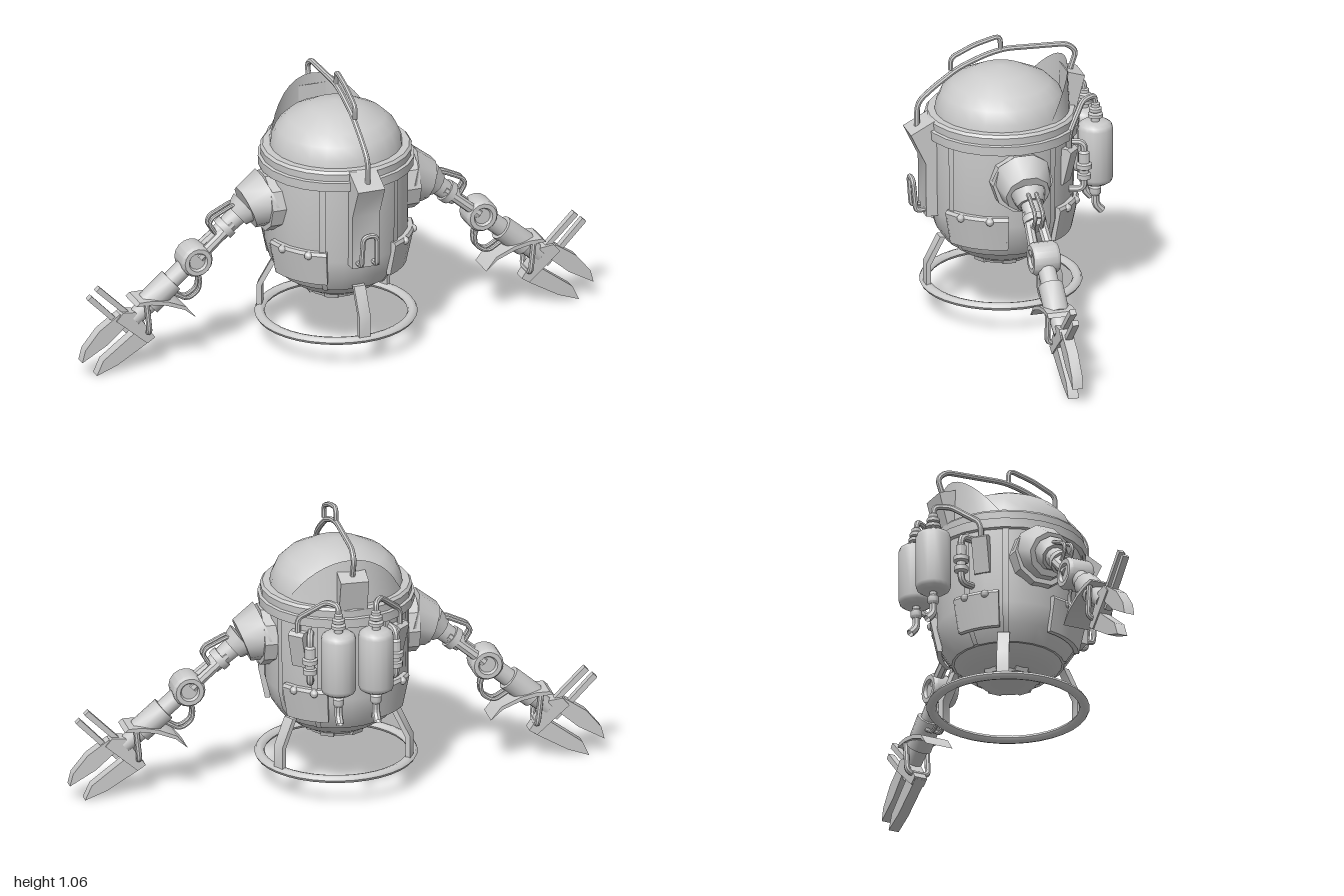
import * as THREE from 'three';
import { toCreasedNormals } from 'three/addons/utils/BufferGeometryUtils.js';

const material = new THREE.MeshStandardMaterial({ color: 0xcccccc, side: THREE.DoubleSide });
const DEG = Math.PI / 180;
const V = (p) => new THREE.Vector3(...p);

function add(parent, name, geo, crease = 35) {
  const m = new THREE.Mesh(toCreasedNormals(geo, crease * DEG), material);
  m.name = name;
  parent.add(m);
  return m;
}

// revolved profile of [radius, y] points; angles run from the front towards +x
function lathe(pts, seg = 24, from = 0, to = 360) {
  return new THREE.LatheGeometry(pts.map((p) => new THREE.Vector2(...p)), seg, from * DEG, (to - from) * DEG);
}

// polygon in the xy plane, thickened symmetrically along z
function slab(pts, depth) {
  const shape = new THREE.Shape(pts.map((p) => new THREE.Vector2(...p)));
  return new THREE.ExtrudeGeometry(shape, { depth, bevelEnabled: false }).translate(0, 0, -depth / 2);
}
// polygon of [z, y] points, thickened symmetrically along x
const sideSlab = (pts, width) => slab(pts, width).rotateY(-Math.PI / 2);

// pipe through straight runs with rounded corners
function pipe(pts, r, bend = 0.025) {
  const p = pts.map(V), path = new THREE.CurvePath();
  let start = p[0];
  for (let i = 1; i < p.length - 1; i++) {
    const k = Math.min(bend, p[i].distanceTo(p[i - 1]) * 0.45, p[i].distanceTo(p[i + 1]) * 0.45);
    const a = p[i].clone().add(p[i - 1].clone().sub(p[i]).setLength(k));
    const b = p[i].clone().add(p[i + 1].clone().sub(p[i]).setLength(k));
    path.add(new THREE.LineCurve3(start, a));
    path.add(new THREE.QuadraticBezierCurve3(a, p[i], b));
    start = b;
  }
  path.add(new THREE.LineCurve3(start, p[p.length - 1]));
  return new THREE.TubeGeometry(path, pts.length * 10, r, 8);
}

// straight, possibly tapered round bar from a to b
function rod(a, b, r1, r2 = r1, seg = 12) {
  const A = V(a), d = V(b).sub(A), len = d.length();
  return new THREE.CylinderGeometry(r2, r1, len, seg)
    .translate(0, len / 2, 0)
    .applyQuaternion(new THREE.Quaternion().setFromUnitVectors(new THREE.Vector3(0, 1, 0), d.normalize()))
    .translate(...A.toArray());
}

function buildBody() {
  const g = new THREE.Group();
  g.name = 'body';
  g.position.z = 0.025;
  // hull, collar and dome
  add(g, 'lowerHull', lathe([[0, 0.2], [0.09, 0.205], [0.155, 0.24], [0.195, 0.275], [0.235, 0.335], [0.25, 0.4], [0.25, 0.7]]));
  add(g, 'shell', lathe([[0.19, 0.277], [0.205, 0.277], [0.243, 0.335], [0.262, 0.41], [0.265, 0.71]]));
  add(g, 'collar', lathe([[0.26, 0.7], [0.284, 0.7], [0.286, 0.735], [0.275, 0.738], [0.277, 0.765], [0.268, 0.775], [0.23, 0.775]]));
  add(g, 'dome', lathe([[0.243, 0.765], [0.238, 0.8], [0.218, 0.845], [0.18, 0.882], [0.1, 0.922], [0, 0.942]]), 50);
  // bottom socket with ribs
  add(g, 'socket', lathe([[0.13, 0.28], [0.105, 0.205], [0.085, 0.205], [0.06, 0.225], [0, 0.225]], 16));
  for (let i = 0; i < 6; i++)
    add(g, 'socketRib', sideSlab([[0.09, 0.205], [0.112, 0.205], [0.138, 0.28], [0.09, 0.28]], 0.05)).rotation.y = (i + 0.5) * 60 * DEG;
  // vertical straps and curved pouches
  for (const a of [32, 118, 150, 210, 242, 328])
    add(g, 'strap', lathe([[0.19, 0.277], [0.212, 0.277], [0.25, 0.335], [0.269, 0.41], [0.272, 0.71]], 2, a - 2.5, a + 2.5));
  const pouch = (name, from, to) => {
    const pts = [[0.24, 0.318], [0.258, 0.318], [0.284, 0.44], [0.278, 0.452], [0.25, 0.452]];
    add(g, name, lathe(pts, 5, from, to));
    // end walls
    for (const a of [from, to]) add(g, name + 'End', sideSlab(pts, 0.006)).rotation.y = a * DEG;
    // fasteners
    for (const t of [0.27, 0.73]) {
      const a = (from + (to - from) * t) * DEG;
      add(g, 'fastener', new THREE.SphereGeometry(0.015, 10, 8).translate(Math.sin(a) * 0.28, 0.438, Math.cos(a) * 0.28), 60);
    }
  };
  pouch('frontPouch', 29, 79);
  pouch('frontPouch', 281, 331);
  pouch('rearPouch', 124, 160);
  pouch('rearPouch', 200, 236);
  // landing ring on three bent legs
  add(g, 'baseRing', new THREE.TorusGeometry(0.278, 0.019, 8, 36).rotateX(Math.PI / 2).scale(1, 0.75, 1).translate(0, 0.107, 0), 50);
  const leg = [[0.27, 0.105], [0.288, 0.105], [0.288, 0.2], [0.236, 0.3], [0.215, 0.3], [0.27, 0.195]];
  for (let i = 0; i < 3; i++) add(g, 'leg', sideSlab(leg, 0.044)).rotation.y = i * 120 * DEG;
  // slanted hood: a cylinder wall cut by a sloping plane
  const hood = new THREE.PlaneGeometry(1, 1, 16, 1), p = hood.attributes.position;
  for (let i = 0; i < p.count; i++) {
    const a = p.getX(i) * 120 * DEG, top = p.getY(i) > 0, r = top ? 0.242 : 0.25;
    const y = top ? 0.765 + 0.185 * Math.max(0, (Math.cos(a) - 0.5) / 0.5) : 0.765;
    p.setXYZ(i, r * Math.sin(a), y, -r * Math.cos(a));
  }
  add(g, 'hood', hood, 60);
  return g;
}

function buildFittings() {
  const g = new THREE.Group();
  g.name = 'fittings';
  // front column and its handle
  add(g, 'frontColumn', sideSlab([[0.27, 0.4], [0.322, 0.4], [0.324, 0.607], [0.38, 0.725], [0.288, 0.773], [0.27, 0.773]], 0.105));
  add(g, 'frontHandle', pipe([[-0.03, 0.42, 0.32], [-0.03, 0.42, 0.355], [-0.026, 0.54, 0.365], [0.026, 0.54, 0.365], [0.03, 0.42, 0.355], [0.03, 0.42, 0.32]], 0.01));
  add(g, 'rearBracket', sideSlab([[-0.21, 0.74], [-0.24, 0.74], [-0.278, 0.885], [-0.212, 0.907]], 0.105));
  // roll bar with a carrying loop
  add(g, 'rollBar', pipe([[0, 0.74, 0.342], [0, 0.83, 0.342], [0, 0.88, 0.285], [0, 0.95, 0.185], [0, 0.99, 0.08], [0, 1.005, 0.01],
    [0, 0.997, -0.225], [0, 0.965, -0.26], [0, 0.89, -0.235]], 0.0105, 0.04));
  add(g, 'carryLoop', pipe([[0, 0.945, 0.215], [0, 0.992, 0.215], [0, 1.033, 0.125], [0, 1.058, 0.028], [0, 1, 0.026]], 0.0095));
  for (const s of [1, -1]) {
    // gas tank with neck and outlet
    const tank = new THREE.Group();
    tank.name = 'tank';
    tank.position.set(0.07 * s, 0, -0.312);
    g.add(tank);
    add(tank, 'tankBody', lathe([[0, 0.468], [0.045, 0.47], [0.06, 0.48], [0.065, 0.495], [0.065, 0.685], [0.06, 0.7], [0.045, 0.71], [0, 0.712]], 16), 50);
    add(tank, 'tankNeck', lathe([[0.016, 0.7], [0.016, 0.725], [0.028, 0.728], [0.028, 0.74], [0.015, 0.745], [0.024, 0.75], [0.024, 0.762], [0.017, 0.768], [0.017, 0.78], [0.01, 0.785]], 12));
    add(tank, 'tankOutlet', lathe([[0.014, 0.42], [0.021, 0.43], [0.021, 0.45], [0.014, 0.458], [0.014, 0.475]], 12));
    add(tank, 'outletPipe', pipe([[0, 0.45, 0], [0, 0.385, 0], [0, 0.358, -0.025]], 0.015));
    // feed pipe to a wedge on the hull
    add(g, 'feedPipe', pipe([[0.07 * s, 0.775, -0.312], [0.07 * s, 0.812, -0.308], [0.1 * s, 0.81, -0.255], [0.19 * s, 0.725, -0.178], [0.19 * s, 0.64, -0.178]], 0.011));
    const wedge = add(g, 'hullWedge', sideSlab([[0.24, 0.53], [0.268, 0.53], [0.3, 0.66], [0.285, 0.672], [0.24, 0.672]], 0.06));
    wedge.position.z = 0.025;
    wedge.rotation.y = s * 137 * DEG;
    // small valve on a bypass pipe
    const x = 0.16 * s;
    add(g, 'bypassPipe', pipe([[x * 0.9, 0.672, -0.19], [x, 0.672, -0.243], [x, 0.488, -0.243], [x * 0.9, 0.488, -0.19]], 0.013));
    add(g, 'valve', lathe([[0.013, 0.525], [0.026, 0.53], [0.026, 0.548], [0.018, 0.552], [0.018, 0.565], [0.029, 0.57], [0.029, 0.587], [0.02, 0.592], [0.02, 0.63], [0.013, 0.638]], 12)).position.set(x, 0, -0.243);
  }
  return g;
}

// one arm on the +x side, symmetric in z
function buildArm() {
  const g = new THREE.Group();
  g.name = 'arm';
  g.position.z = 0.025;
  const S = [0.35, 0.578, 0], E = [0.556, 0.405, 0], W = [0.73, 0.255, 0];
  const at = (a, b, t, z = 0) => [a[0] + (b[0] - a[0]) * t, a[1] + (b[1] - a[1]) * t, z];
  // shoulder
  add(g, 'shoulderBase', rod([0.2, 0.59, 0], [0.29, 0.59, 0], 0.113, 0.113, 10));
  add(g, 'shoulderCone', rod([0.265, 0.605, 0], [0.352, 0.572, 0], 0.112, 0.083, 10));
  add(g, 'shoulderCup', rod(S, at(S, E, 0.18), 0.066, 0.05, 10));
  // upper arm
  add(g, 'upperArm', rod(S, at(S, E, 0.55), 0.04, 0.032));
  add(g, 'upperArmCollar', rod(at(S, E, 0.36), at(S, E, 0.46), 0.043));
  for (const z of [-0.03, 0.03]) add(g, 'upperFork', rod(at(S, E, 0.3, z * 0.7), at(S, E, 0.95, z), 0.018, 0.02, 8));
  for (const z of [-0.015, 0.015])
    add(g, 'upperHose', pipe([[0.37, 0.565, z], [0.4, 0.6, z], [0.488, 0.558, z], [0.5, 0.535, z], [0.47, 0.485, z]], 0.008));
  // elbow
  add(g, 'elbow', lathe([[0, -0.04], [0.03, -0.04], [0.036, -0.05], [0.052, -0.05], [0.06, -0.038], [0.06, 0.038], [0.052, 0.05], [0.036, 0.05], [0.03, 0.04], [0, 0.04]], 16)
    .rotateX(Math.PI / 2).translate(...E));
  // forearm
  add(g, 'forearm', rod(at(E, W, 0.2), W, 0.034, 0.034));
  add(g, 'forearmSleeve', rod(at(E, W, 0.5), at(E, W, 1.02), 0.047, 0.047));
  for (const z of [-0.015, 0.015])
    add(g, 'forearmHose', pipe([[0.55, 0.36, z], [0.535, 0.325, z], [0.54, 0.28, z], [0.585, 0.25, z], [0.65, 0.29, z]], 0.008));
  // curved wrist guard
  add(g, 'wristGuard', slab([[0.565, 0.19], [0.61, 0.228], [0.68, 0.256], [0.74, 0.268], [0.8, 0.27], [0.785, 0.283], [0.735, 0.283], [0.675, 0.27], [0.605, 0.24]], 0.108));
  // wrist and U-shaped brace
  add(g, 'wrist', rod(W, [0.79, 0.2, 0], 0.036, 0.03));
  add(g, 'brace', pipe([[0.755, 0.27, -0.042], [0.742, 0.15, -0.042], [0.742, 0.15, 0.042], [0.755, 0.27, 0.042]], 0.011));
  // gripper: knuckle, two blades and two prongs
  add(g, 'knuckle', slab([[0.715, 0.125], [0.745, 0.105], [0.865, 0.21], [0.84, 0.24], [0.79, 0.235]], 0.05));
  add(g, 'lowerBlade', slab([[0.72, 0.12], [0.75, 0.1], [0.86, 0.035], [0.94, 0.005], [0.915, 0.06], [0.775, 0.165]], 0.04));
  add(g, 'upperBlade', slab([[0.82, 0.19], [0.9, 0.12], [0.997, 0.065], [0.985, 0.112], [0.93, 0.18], [0.85, 0.235]], 0.04));
  add(g, 'prong', slab([[0.775, 0.2], [0.787, 0.187], [0.94, 0.335], [0.925, 0.35]], 0.024));
  add(g, 'prong', slab([[0.81, 0.165], [0.822, 0.152], [0.972, 0.305], [0.957, 0.32]], 0.024));
  return g;
}

export function createModel() {
  const model = new THREE.Group();
  model.name = 'divingRobot';
  const left = buildArm(), right = buildArm();
  left.name = 'leftArm';
  right.name = 'rightArm';
  right.rotation.y = Math.PI;
  model.add(buildBody(), buildFittings(), left, right);
  return model;
}
